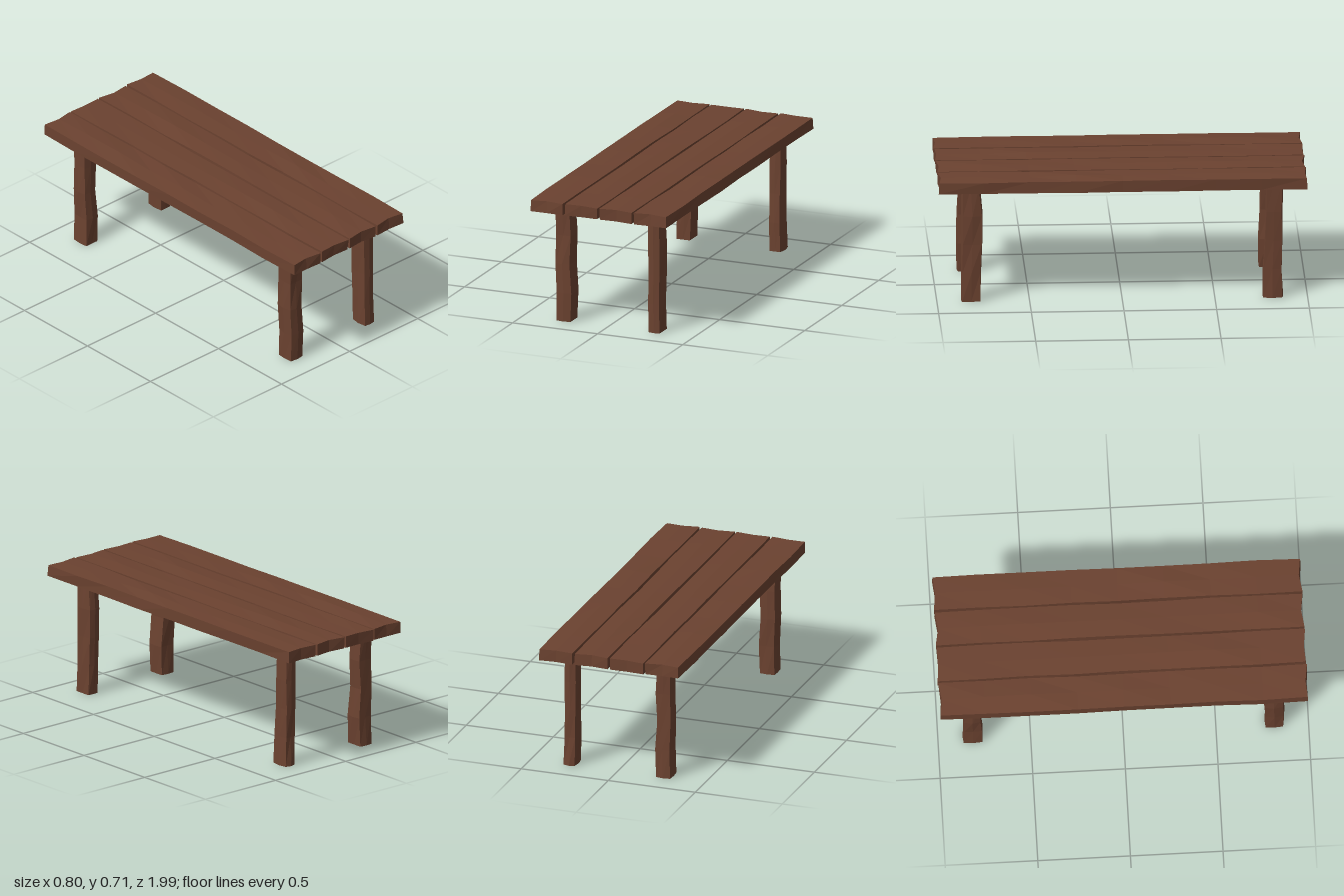
import * as THREE from 'three';

// Repeatable noise in -1..1 from a lattice position and a seed
function noise(i, j, k, seed) {
  const s = Math.sin(i * 12.99 + j * 78.23 + k * 37.72 + seed * 51.17) * 43758.55;
  return 2 * (s - Math.floor(s)) - 1;
}

// Moves every vertex of a geometry by a rule that depends only on its position
function warp(geometry, rule) {
  const p = geometry.attributes.position;
  const v = new THREE.Vector3();
  for (let i = 0; i < p.count; i++) {
    rule(v.fromBufferAttribute(p, i));
    p.setXYZ(i, v.x, v.y, v.z);
  }
  geometry.computeVertexNormals();
  return geometry;
}

// Rough plank: ridged along the middle, with uneven sides and ends
function plankGeometry(x0, x1, seed) {
  const rows = 8;
  return warp(new THREE.BoxGeometry(2, 2, 2, 2, 1, rows), (v) => {
    const i = Math.round(v.x), j = Math.round(v.y), k = Math.round(v.z * rows / 2);
    const end = Math.abs(k) === rows / 2;
    const n = noise(i, j, k, seed);
    v.x = (x0 + x1) / 2 + i * ((x1 - x0) / 2 - 0.003 + 0.003 * n);
    v.y = j > 0 ? 0.704 : 0.641;
    if (i === 0) v.y += j * (end ? 0.001 : 0.004 + 0.005 * n);
    else v.y += 0.0015 * noise(j, k, i, seed);
    v.z = end ? Math.sign(k) * (i === 0 ? 0.984 + 0.006 * n : 0.994 + 0.004 * n) : v.z;
  });
}

// Rough post: edges give [inner low x, high x, low z, high z] at five heights
function legGeometry(edges, seed) {
  return warp(new THREE.BoxGeometry(2, 2, 2, 2, 4, 2), (v) => {
    const i = Math.round(v.x), k = Math.round(v.z), level = Math.round((v.y + 1) * 2);
    const [x0, x1, z0, z1] = edges[level];
    const bulge = 0.004 + 0.005 * noise(i, level, k, seed);
    v.x = (x0 + x1) / 2 + i * (x1 - x0) / 2 + (k === 0 ? i * bulge : 0);
    v.z = (z0 + z1) / 2 + k * (z1 - z0) / 2 + (i === 0 ? k * bulge : 0);
    v.y = level * 0.161;
  });
}

export function createModel() {
  const wood = new THREE.MeshStandardMaterial({ color: 0x6b4230, flatShading: true });
  wood.name = 'brown wood';
  const table = new THREE.Group();
  table.name = 'plankTable';
  const add = (name, geometry) => {
    const mesh = new THREE.Mesh(geometry, wood);
    mesh.name = name;
    table.add(mesh);
  };

  // Tabletop planks
  [[-0.402, -0.207], [-0.2, -0.003], [0.004, 0.2], [0.207, 0.402]].forEach(([a, b], n) =>
    add(`plank${n + 1}`, plankGeometry(a, b, n + 1)));

  // Legs, listed from the floor up
  const legs = {
    frontRightLeg: [
      [-0.303, -0.220, 0.768, 0.862], [-0.300, -0.214, 0.766, 0.864], [-0.308, -0.226, 0.762, 0.862],
      [-0.305, -0.220, 0.764, 0.860], [-0.308, -0.227, 0.774, 0.862]],
    frontLeftLeg: [
      [0.240, 0.305, 0.766, 0.864], [0.237, 0.300, 0.766, 0.862], [0.238, 0.302, 0.758, 0.860],
      [0.236, 0.302, 0.757, 0.860], [0.235, 0.300, 0.774, 0.860]],
    backRightLeg: [
      [-0.304, -0.224, -0.862, -0.762], [-0.300, -0.218, -0.860, -0.764], [-0.306, -0.230, -0.860, -0.772],
      [-0.303, -0.220, -0.858, -0.776], [-0.304, -0.230, -0.862, -0.778]],
    backLeftLeg: [
      [0.244, 0.308, -0.862, -0.760], [0.242, 0.302, -0.860, -0.762], [0.240, 0.300, -0.862, -0.772],
      [0.238, 0.303, -0.860, -0.778], [0.240, 0.299, -0.862, -0.780]],
  };
  Object.entries(legs).forEach(([name, edges], n) => add(name, legGeometry(edges, n + 11)));
  return table;
}
